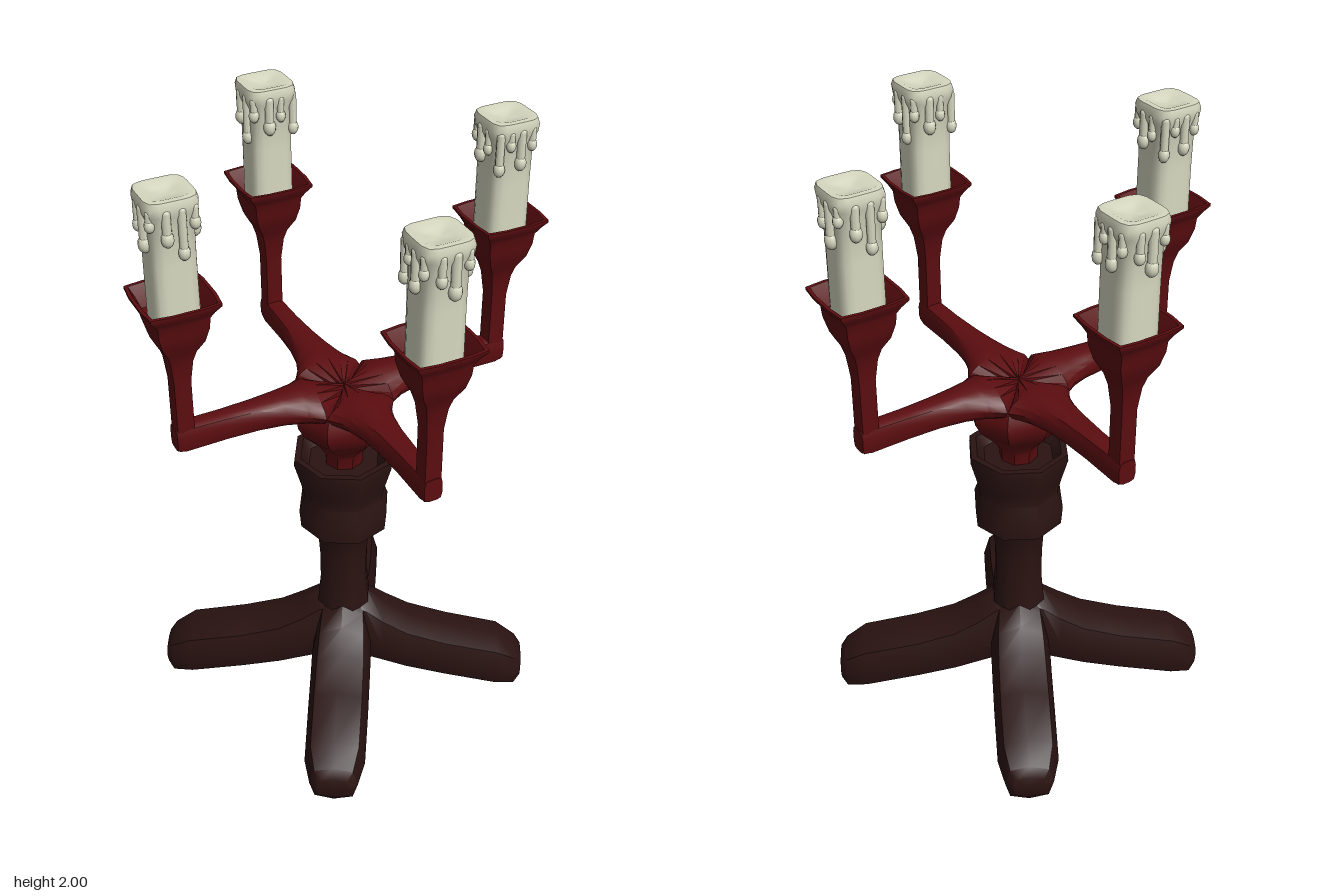
import * as THREE from 'three';
import { toCreasedNormals } from 'three/addons/utils/BufferGeometryUtils.js';

const mat = (color) => new THREE.MeshStandardMaterial({ color });
const wood = mat(0x2a1312), red = mat(0x5c0d10), wax = mat(0xd6d8c0);

// Superellipse radius: p = 2 is round, a large p is nearly square
const squircle = (a, p) =>
  1 / Math.pow(Math.pow(Math.abs(Math.cos(a)), p) + Math.pow(Math.abs(Math.sin(a)), p), 1 / p);

// Skin a row of equal rings, closing both ends with a fan
function loft(rings, crease) {
  const n = rings[0].length, pos = [], index = [];
  rings.forEach((r) => r.forEach((v) => pos.push(v.x, v.y, v.z)));
  for (let i = 0; i < rings.length - 1; i++) {
    for (let j = 0; j < n; j++) {
      const a = i * n + j, b = i * n + (j + 1) % n;
      index.push(a, b, b + n, a, b + n, a + n);
    }
  }
  const cap = (start, flip) => {
    const c = new THREE.Vector3();
    for (let j = 0; j < n; j++) c.add(rings[start / n][j]);
    c.divideScalar(n);
    const id = pos.length / 3;
    pos.push(c.x, c.y, c.z);
    for (let j = 0; j < n; j++) {
      const a = start + j, b = start + (j + 1) % n;
      index.push(...(flip ? [id, b, a] : [id, a, b]));
    }
  };
  cap(0, true);
  cap((rings.length - 1) * n, false);
  const g = new THREE.BufferGeometry();
  g.setAttribute('position', new THREE.Float32BufferAttribute(pos, 3));
  g.setIndex(index);
  return toCreasedNormals(g, crease);
}

// Upright form from [half width, y] pairs
const upright = (profile, p, n = 16, crease = 0.7) => loft(profile.map(([h, y]) =>
  Array.from({ length: n }, (_, i) => {
    const a = i / n * Math.PI * 2, r = h * squircle(a, p);
    return new THREE.Vector3(r * Math.sin(a), y, r * Math.cos(a));
  })), crease);

// Limb along +x from [x, bottom, top, half width, squareness]
const limb = (stations, n = 8, crease = 0.6) => loft(stations.map(([x, lo, hi, w, p]) =>
  Array.from({ length: n }, (_, i) => {
    const a = i / n * Math.PI * 2, r = squircle(a, p);
    return new THREE.Vector3(x, (lo + hi) / 2 + r * Math.cos(a) * (hi - lo) / 2, r * Math.sin(a) * w);
  })), crease);

function add(parent, name, geometry, material) {
  const mesh = new THREE.Mesh(geometry, material);
  mesh.name = name;
  parent.add(mesh);
  return mesh;
}

function makeCandle() {
  const candle = new THREE.Group();
  candle.name = 'candle';
  add(candle, 'candleBody', upright([[0.066, 1.6], [0.065, 1.8], [0.066, 1.93], [0.076, 1.955],
    [0.079, 1.98], [0.074, 1.998], [0.06, 2.0], [0.035, 1.99], [0.012, 1.985]], 5, 24, 1), wax);
  // Wax runs: [angle in degrees, lower end, radius]
  const runs = [[8, 1.87, 0.016], [35, 1.92, 0.013], [68, 1.9, 0.014], [100, 1.86, 0.017], [128, 1.93, 0.013],
    [160, 1.89, 0.016], [195, 1.84, 0.015], [222, 1.92, 0.014], [255, 1.88, 0.017], [285, 1.91, 0.013],
    [318, 1.86, 0.015], [340, 1.93, 0.013]];
  for (const [deg, low, r] of runs) {
    const a = deg * Math.PI / 180, d = 0.07 * squircle(a, 5), len = 1.965 - low;
    const run = add(candle, 'waxRun', new THREE.CapsuleGeometry(r * 0.85, len, 4, 8), wax);
    run.position.set(d * Math.sin(a), low + len / 2, d * Math.cos(a));
    const bead = add(candle, 'waxBead', new THREE.SphereGeometry(r * 1.15, 10, 8), wax);
    bead.position.set(d * Math.sin(a), low, d * Math.cos(a));
    bead.scale.y = 1.35;
  }
  return candle;
}

export function createModel() {
  const model = new THREE.Group();
  model.name = 'candelabrum';

  // Turned post with a hollow-topped collar
  const post = add(model, 'post', upright([[0.085, 0.11], [0.09, 0.3], [0.084, 0.38], [0.077, 0.46],
    [0.078, 0.56], [0.084, 0.65], [0.095, 0.675], [0.138, 0.69], [0.143, 0.755], [0.125, 0.81],
    [0.135, 0.86], [0.157, 0.945], [0.155, 0.965], [0.135, 0.965], [0.11, 0.93]], 2, 8, 0.9), wood);
  post.geometry.rotateY(Math.PI / 8).scale(1.06, 1, 1.06);

  // Four spreading feet
  const foot = limb([[0, 0.1, 0.4, 0.085, 2.2], [0.08, 0.09, 0.37, 0.095, 2.2], [0.14, 0.085, 0.32, 0.1, 2.4],
    [0.22, 0.07, 0.267, 0.1, 2.8], [0.35, 0.045, 0.225, 0.1, 3], [0.53, 0.01, 0.19, 0.098, 3],
    [0.597, 0, 0.145, 0.078, 3], [0.618, 0.03, 0.115, 0.055, 3]], 8, 0.75);

  // Hub under the arms
  const hub = add(model, 'hub', upright([[0.06, 0.9], [0.063, 0.97], [0.085, 1.005], [0.138, 1.06],
    [0.158, 1.1], [0.16, 1.135], [0.145, 1.17]], 2, 8, 0.7), red);
  hub.rotation.y = Math.PI / 6;

  // Arms start as wedges that meet in a star at the centre
  const arm = limb([[0, 1.1, 1.22, 0.004, 1.6], [0.113, 1.13, 1.25, 0.113, 1.6], [0.16, 1.14, 1.248, 0.082, 1.9],
    [0.22, 1.15, 1.245, 0.06, 2.4], [0.3, 1.155, 1.242, 0.045, 3], [0.4, 1.155, 1.24, 0.035, 4],
    [0.53, 1.152, 1.24, 0.031, 5], [0.557, 1.16, 1.235, 0.029, 5]], 16, 0.6);

  // Stem flaring into a square drip cup
  const cup = upright([[0.026, 1.16], [0.028, 1.24], [0.028, 1.4], [0.036, 1.47], [0.046, 1.505],
    [0.068, 1.545], [0.08, 1.59], [0.083, 1.625], [0.094, 1.645], [0.112, 1.67], [0.112, 1.678],
    [0.102, 1.678], [0.088, 1.65], [0.075, 1.615], [0.04, 1.61]], 10, 16, 0.75);

  for (let i = 0; i < 4; i++) {
    add(model, 'foot', foot, wood).rotation.y = i * Math.PI / 2;

    const branch = new THREE.Group();
    branch.name = 'branch';
    branch.rotation.y = Math.PI / 6 + i * Math.PI / 2;
    add(branch, 'arm', arm, red);
    add(branch, 'cup', cup, red).position.x = 0.527;
    const candle = makeCandle();
    candle.position.x = 0.527;
    branch.add(candle);
    model.add(branch);
  }
  return model;
}
